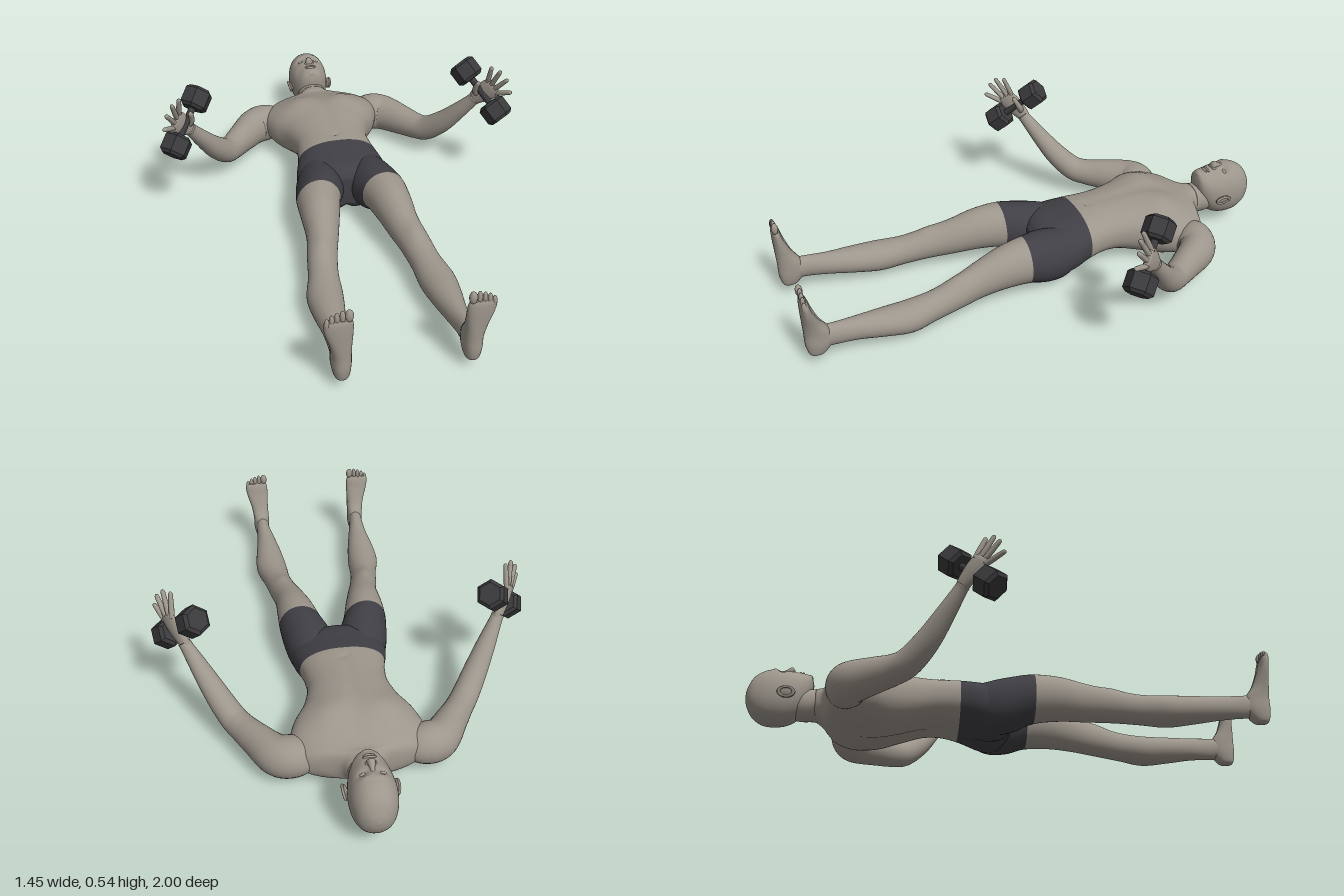
import * as THREE from 'three';

const V = (x, y, z) => new THREE.Vector3(x, y, z);
const bump = (x, x0, z, z0, sx, sz = sx) => Math.exp(-(((x - x0) / sx) ** 2) - ((z - z0) / sz) ** 2);

// Smooth skin through cross-sections [x, y, z, radiusU, radiusV].
// axis fixes the section plane; otherwise it follows the path. zone(z) picks the material index.
function loft(rows, { axis, ref = V(0, 1, 0), steps = 6, seg = 32, power = 2, deform, zone = () => 0 } = {}) {
  const path = new THREE.CatmullRomCurve3(rows.map(r => V(r[0], r[1], r[2])), false, 'catmullrom');
  const size = new THREE.CatmullRomCurve3(rows.map(r => V(r[3], r[4], 0)), false, 'catmullrom');
  const n = (rows.length - 1) * steps, pos = [], faces = [[], []], mids = [];
  const shape = c => Math.sign(c) * Math.abs(c) ** (2 / power);
  for (let i = 0; i <= n; i++) {
    const c = path.getPoint(i / n), s = size.getPoint(i / n);
    const t = axis || path.getTangent(i / n);
    const v = ref.clone().addScaledVector(t, -ref.dot(t)).normalize(), u = v.clone().cross(t);
    mids.push(c);
    for (let j = 0; j < seg; j++) {
      const a = j / seg * Math.PI * 2;
      const p = c.clone().addScaledVector(u, shape(Math.cos(a)) * s.x).addScaledVector(v, shape(Math.sin(a)) * s.y);
      if (deform) deform(p);
      pos.push(p.x, p.y, p.z);
    }
  }
  for (let i = 0; i < n; i++) {
    const out = faces[zone((mids[i].z + mids[i + 1].z) / 2)];
    for (let j = 0; j < seg; j++) {
      const k = (j + 1) % seg, a = i * seg + j, b = i * seg + k;
      out.push(a, b, b + seg, a, b + seg, a + seg);
    }
  }
  // End caps
  const first = (n + 1) * seg, last = first + 1;
  pos.push(...mids[0].toArray(), ...mids[n].toArray());
  for (let j = 0; j < seg; j++) {
    const k = (j + 1) % seg;
    faces[zone(mids[0].z)].push(first, k, j);
    faces[zone(mids[n].z)].push(last, n * seg + j, n * seg + k);
  }
  const g = new THREE.BufferGeometry();
  g.setAttribute('position', new THREE.Float32BufferAttribute(pos, 3));
  g.setIndex([...faces[0], ...faces[1]]);
  g.addGroup(0, faces[0].length, 0);
  g.addGroup(faces[0].length, faces[1].length, 1);
  g.computeVertexNormals();
  return g;
}

function mirrored(geo) {
  const g = geo.clone().scale(-1, 1, 1);
  const idx = g.index ? Array.from(g.index.array) : [...Array(g.attributes.position.count).keys()];
  for (let i = 0; i < idx.length; i += 3) [idx[i], idx[i + 1]] = [idx[i + 1], idx[i]];
  g.setIndex(idx);
  return g;
}

const blob = (x, y, z, a, b, c, rz = 0) => new THREE.SphereGeometry(1, 20, 14).scale(a, b, c).rotateZ(rz).translate(x, y, z);

export function createModel() {
  const model = new THREE.Group();
  const material = (name, color) => Object.assign(new THREE.MeshStandardMaterial({ color }), { name });
  const skin = material('skin', 0x9d968c), cloth = material('shorts', 0x403f45), iron = material('iron', 0x3a3a3d);
  const add = (name, geo, mat = skin) => {
    const m = new THREE.Mesh(geo, mat);
    m.name = name;
    model.add(m);
  };
  const pair = (name, geo, mat) => {
    add(name + 'Left', geo, mat);
    add(name + 'Right', mirrored(geo), mat);
  };
  const Z = V(0, 0, 1);
  // Section spanning bottom to top at z
  const slab = ([z, rx, top, bottom]) => [0, (top + bottom) / 2, z, rx, (top - bottom) / 2];

  // Torso and upper part of the shorts
  add('torso', loft([
    [-0.73, 0.062, 0.208, 0.085], [-0.70, 0.09, 0.21, 0.065], [-0.68, 0.16, 0.208, 0.05], [-0.65, 0.225, 0.215, 0.032],
    [-0.58, 0.255, 0.238, 0.012], [-0.49, 0.232, 0.258, 0.01], [-0.41, 0.185, 0.26, 0.025], [-0.32, 0.157, 0.254, 0.05],
    [-0.25, 0.157, 0.25, 0.055], [-0.18, 0.168, 0.248, 0.042], [-0.10, 0.187, 0.238, 0.018], [-0.04, 0.18, 0.23, 0.014],
    [0.0, 0.12, 0.215, 0.03], [0.025, 0.05, 0.185, 0.06],
  ].map(slab), {
    axis: Z, seg: 64, power: 2.3, zone: z => (z > -0.18 ? 1 : 0),
    deform(p) {
      const x = Math.abs(p.x);
      if (p.y > 0.14) {
        p.y += 0.016 * bump(x, 0.1, p.z, -0.53, 0.065, 0.06); // chest
        p.y -= 0.006 * bump(x, 0, p.z, -0.45, 0.015, 0.17); // midline
        p.y -= 0.008 * bump(x, 0, p.z, -0.23, 0.01); // navel
      } else {
        p.y += 0.014 * bump(x, 0, p.z, -0.4, 0.022, 0.22); // spine
        p.y += 0.02 * bump(x, 0, p.z, -0.03, 0.018, 0.07);
        p.y -= 0.01 * bump(x, 0.09, p.z, -0.05, 0.05, 0.06); // buttocks
      }
    },
  }), [skin, cloth]);

  // Neck and head
  add('neck', loft([[-0.85, 0.05, 0.2, 0.09], [-0.78, 0.061, 0.21, 0.08], [-0.73, 0.063, 0.208, 0.08],
    [-0.66, 0.085, 0.2, 0.06]].map(slab), { axis: Z }));
  add('head', loft([
    [-1.0, 0.004, 0.172, 0.163], [-0.993, 0.032, 0.205, 0.13], [-0.97, 0.062, 0.25, 0.088], [-0.93, 0.08, 0.277, 0.06],
    [-0.885, 0.086, 0.285, 0.055], [-0.84, 0.083, 0.28, 0.062], [-0.8, 0.074, 0.277, 0.085], [-0.77, 0.059, 0.272, 0.125],
    [-0.752, 0.04, 0.263, 0.175], [-0.744, 0.012, 0.235, 0.21],
  ].map(slab), {
    axis: Z, seg: 56, power: 2.15,
    deform(p) {
      if (p.y < 0.2) return;
      const x = Math.abs(p.x);
      p.y -= 0.012 * bump(x, 0.033, p.z, -0.866, 0.018, 0.014); // eye sockets
      p.y += 0.005 * bump(x, 0.03, p.z, -0.893, 0.025, 0.01); // brow
      p.y -= 0.006 * bump(x, 0.05, p.z, -0.8, 0.018, 0.025); // cheeks
    },
  }));
  add('nose', loft([[0, 0.272, -0.88, 0.006, 0.008], [0, 0.28, -0.855, 0.009, 0.012], [0, 0.287, -0.835, 0.014, 0.017],
    [0, 0.283, -0.823, 0.016, 0.013], [0, 0.276, -0.818, 0.005, 0.004]], { axis: Z, seg: 20 }));
  pair('nostril', blob(0.013, 0.276, -0.827, 0.008, 0.008, 0.009));
  pair('eye', blob(0.033, 0.262, -0.865, 0.014, 0.009, 0.008, -0.3));
  add('upperLip', blob(0, 0.274, -0.797, 0.025, 0.008, 0.005));
  add('lowerLip', blob(0, 0.273, -0.787, 0.021, 0.008, 0.006));
  add('chin', blob(0, 0.257, -0.762, 0.024, 0.015, 0.014));
  pair('ear', blob(0.087, 0.16, -0.838, 0.007, 0.022, 0.033, -0.3));
  pair('earRim', new THREE.TorusGeometry(0.02, 0.005, 8, 20).scale(0.9, 1.4, 1).rotateX(Math.PI / 2)
    .rotateZ(-Math.PI / 2 - 0.3).translate(0.093, 0.16, -0.838));

  // Legs, with the lower part of the shorts
  pair('leg', loft([
    [0.1, 0.13, -0.14, 0.06, 0.075], [0.105, 0.124, -0.06, 0.09, 0.105], [0.114, 0.135, 0.02, 0.098, 0.11],
    [0.133, 0.153, 0.1, 0.088, 0.097], [0.145, 0.152, 0.2, 0.076, 0.087], [0.157, 0.135, 0.3, 0.063, 0.075],
    [0.178, 0.116, 0.4, 0.058, 0.064], [0.194, 0.1, 0.5, 0.057, 0.058], [0.208, 0.092, 0.6, 0.066, 0.06],
    [0.212, 0.1, 0.7, 0.057, 0.054], [0.215, 0.11, 0.8, 0.041, 0.047], [0.221, 0.117, 0.88, 0.031, 0.046],
    [0.223, 0.12, 0.94, 0.03, 0.046],
  ], {
    axis: Z, seg: 40, zone: z => (z < 0.1 ? 1 : 0),
    deform(p) { if (p.y > 0.11) p.y += 0.008 * bump(p.x, 0.178, p.z, 0.4, 0.03, 0.04); }, // kneecap
  }), [skin, cloth]);

  // Feet, toes pointing up
  pair('foot', loft([
    [0.225, 0.05, 0.957, 0.01, 0.015], [0.224, 0.06, 0.956, 0.025, 0.032], [0.224, 0.1, 0.947, 0.034, 0.05],
    [0.224, 0.15, 0.949, 0.035, 0.048], [0.228, 0.2, 0.965, 0.038, 0.033], [0.235, 0.26, 0.977, 0.047, 0.022],
    [0.238, 0.3, 0.982, 0.049, 0.016], [0.238, 0.318, 0.984, 0.042, 0.01],
  ], { axis: V(0, 1, 0), ref: Z, power: 2.3 }));
  [[0.203, 0.332, 0.014], [0.225, 0.331, 0.0095], [0.243, 0.326, 0.009], [0.26, 0.318, 0.009], [0.276, 0.306, 0.009]]
    .forEach(([x, y, r], i) => pair('toe' + (i + 1), blob(x, y, 0.986, r, 0.024, Math.min(r, 0.013))));

  // Arms
  pair('arm', loft([
    [0.18, 0.12, -0.605, 0.06, 0.06], [0.24, 0.118, -0.605, 0.076, 0.08], [0.3, 0.113, -0.585, 0.073, 0.08],
    [0.365, 0.115, -0.5, 0.06, 0.068], [0.41, 0.118, -0.435, 0.053, 0.058], [0.447, 0.133, -0.383, 0.051, 0.053],
    [0.497, 0.195, -0.32, 0.046, 0.046], [0.548, 0.277, -0.262, 0.036, 0.035], [0.588, 0.345, -0.218, 0.025, 0.027],
    [0.6, 0.365, -0.205, 0.024, 0.026],
  ]));

  // Hands: wide direction follows the grip, palm turned inward
  const near = V(0.56, 0.48, -0.235), far = V(0.66, 0.345, -0.117);
  const grip = far.clone().sub(near).normalize();
  pair('palm', loft([[0.588, 0.345, -0.218, 0.018, 0.022], [0.606, 0.375, -0.2, 0.018, 0.033], [0.63, 0.41, -0.172, 0.017, 0.042],
    [0.65, 0.44, -0.147, 0.013, 0.041], [0.656, 0.45, -0.14, 0.006, 0.032]], { ref: grip }));
  const tips = [[0.632, 0.545, -0.128], [0.662, 0.538, -0.1], [0.688, 0.505, -0.082], [0.702, 0.452, -0.066]];
  tips.forEach((tip, i) => {
    const b = V(0.65, 0.44, -0.147).addScaledVector(grip, (i - 1.5) * 0.021), e = V(...tip);
    const at = (f, r) => [...b.clone().lerp(e, f).toArray(), r, r];
    pair('finger' + (i + 1), loft([at(-0.1, 0.01), at(0.3, 0.0105), at(0.65, 0.0095), at(0.92, 0.008), at(1, 0.002)],
      { ref: grip, seg: 14, steps: 4 }));
  });
  pair('thumb', loft([[0.61, 0.38, -0.2, 0.013, 0.013], [0.592, 0.405, -0.19, 0.014, 0.014], [0.588, 0.435, -0.173, 0.011, 0.011],
    [0.592, 0.458, -0.16, 0.009, 0.009], [0.594, 0.464, -0.156, 0.002, 0.002]], { ref: grip, seg: 14, steps: 4 }));

  // Dumbbells with hexagonal, chamfered heads
  const turn = new THREE.Quaternion().setFromUnitVectors(V(0, 1, 0), grip);
  const place = (g, p) => g.applyQuaternion(turn).translate(p.x, p.y, p.z);
  const profile = [[0, -0.043], [0.044, -0.043], [0.058, -0.031], [0.058, 0.031], [0.044, 0.043], [0, 0.043]]
    .map(p => new THREE.Vector2(...p));
  [near, far].forEach((p, i) => {
    const head = new THREE.LatheGeometry(profile, 6).toNonIndexed();
    head.computeVertexNormals();
    pair('dumbbellHead' + (i + 1), place(head, p), iron);
  });
  pair('dumbbellHandle', place(new THREE.CylinderGeometry(0.014, 0.014, near.distanceTo(far), 16),
    near.clone().lerp(far, 0.5)), iron);

  return model;
}
